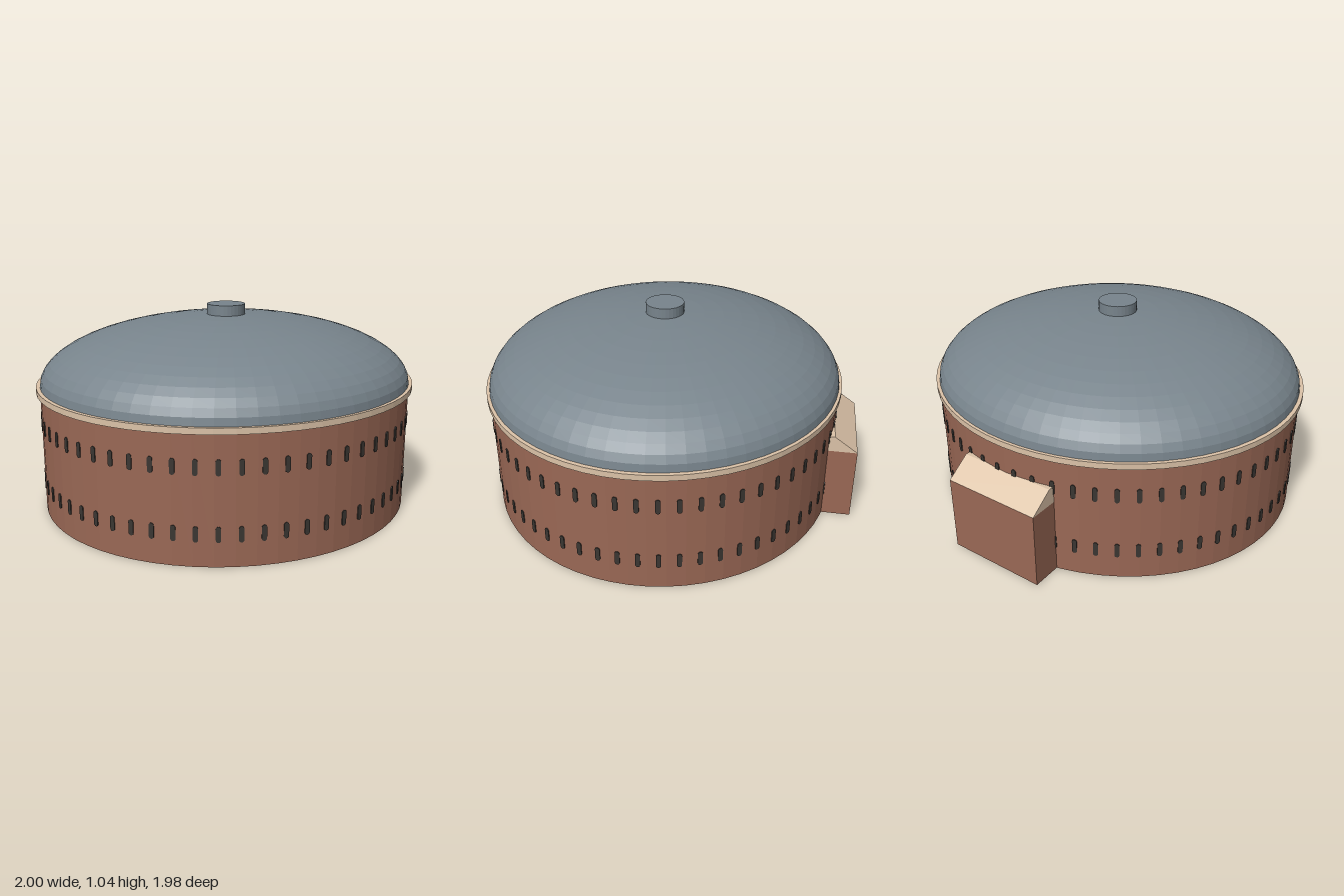
import * as THREE from 'three';

const CENTER_Z = 0.05;
const RX = 0.98, RZ = 0.925; // wall half-axes
const SEGMENTS = 64;

function material(name, color, options = {}) {
  const m = new THREE.MeshStandardMaterial({ color, ...options });
  m.name = name;
  return m;
}

export function createModel() {
  const model = new THREE.Group();
  model.name = 'roundHall';

  const brick = material('brick', 0x9a6855, { flatShading: true, side: THREE.DoubleSide });
  const slate = material('slate', 0x78848c, { flatShading: true });
  const stone = material('stone', 0xdcc3a8, { flatShading: true });
  const dark = material('darkGlass', 0x3a3632);
  const black = material('shadowBlack', 0x050505, { side: THREE.DoubleSide });

  const add = (name, geometry, mat, parent = model) => {
    const mesh = new THREE.Mesh(geometry, mat);
    mesh.name = name;
    parent.add(mesh);
    return mesh;
  };
  // Surface of revolution stretched to an oval plan
  const ovalLathe = (points, rx, rz) => new THREE.LatheGeometry(
    points.map(([r, y]) => new THREE.Vector2(r, y)), SEGMENTS)
    .scale(rx, 1, rz).translate(0, 0, CENTER_Z);

  // Drum wall, open below, with a black ceiling inside
  add('drumWall', ovalLathe([[1, 0], [1, 0.63]], RX, RZ), brick);
  add('ceiling', new THREE.CircleGeometry(1, SEGMENTS).rotateX(Math.PI / 2)
    .scale(RX, 1, RZ).translate(0, 0.622, CENTER_Z), black);

  // Cornice ring
  add('cornice', ovalLathe(
    [[0.97, 0.62], [1, 0.62], [1, 0.65], [0.97, 0.65]], 1, 0.94), stone);

  // Shallow dome
  const domeProfile = [];
  for (let i = 0; i <= 14; i++) {
    const a = (i / 14) * Math.PI / 2;
    domeProfile.push([Math.cos(a), 0.65 + 0.338 * Math.sin(a)]);
  }
  add('dome', ovalLathe(domeProfile, RX, RZ), slate);
  add('domeCap', new THREE.CylinderGeometry(0.1, 0.1, 0.07, 32)
    .translate(0, 1.005, CENTER_Z), slate);

  // Two rows of round-ended slit windows
  const w = 0.012, h = 0.026;
  const slit = new THREE.Shape();
  slit.moveTo(w, -h);
  slit.lineTo(w, h);
  slit.absarc(0, h, w, 0, Math.PI, false);
  slit.lineTo(-w, -h);
  slit.absarc(0, -h, w, Math.PI, Math.PI * 2, false);
  const slitGeometry = new THREE.ExtrudeGeometry(slit,
    { depth: 0.009, bevelEnabled: false, curveSegments: 5 }).translate(0, 0, -0.0055);
  const windows = new THREE.Group();
  windows.name = 'windows';
  model.add(windows);
  for (const y of [0.157, 0.468]) {
    for (let i = 0; i < 60; i++) {
      const a = ((i + 0.5) / 60) * Math.PI * 2;
      const pane = add('slitWindow', slitGeometry, dark, windows);
      pane.position.set(RX * Math.sin(a), y, CENTER_Z + RZ * Math.cos(a));
      pane.rotation.y = Math.atan2(Math.sin(a) / RX, Math.cos(a) / RZ);
    }
  }

  // Rear annex with a sloped stone roof
  add('annexWalls', new THREE.BoxGeometry(0.52, 0.39, 0.15)
    .translate(0, 0.195, -0.915), brick);
  const roof = new THREE.Shape([
    [0.84, 0.39], [0.99, 0.39], [0.87, 0.475], [0.84, 0.475],
  ].map(([x, y]) => new THREE.Vector2(x, y)));
  add('annexRoof', new THREE.ExtrudeGeometry(roof, { depth: 0.52, bevelEnabled: false })
    .translate(0, 0, -0.26).rotateY(Math.PI / 2), stone);

  return model;
}
